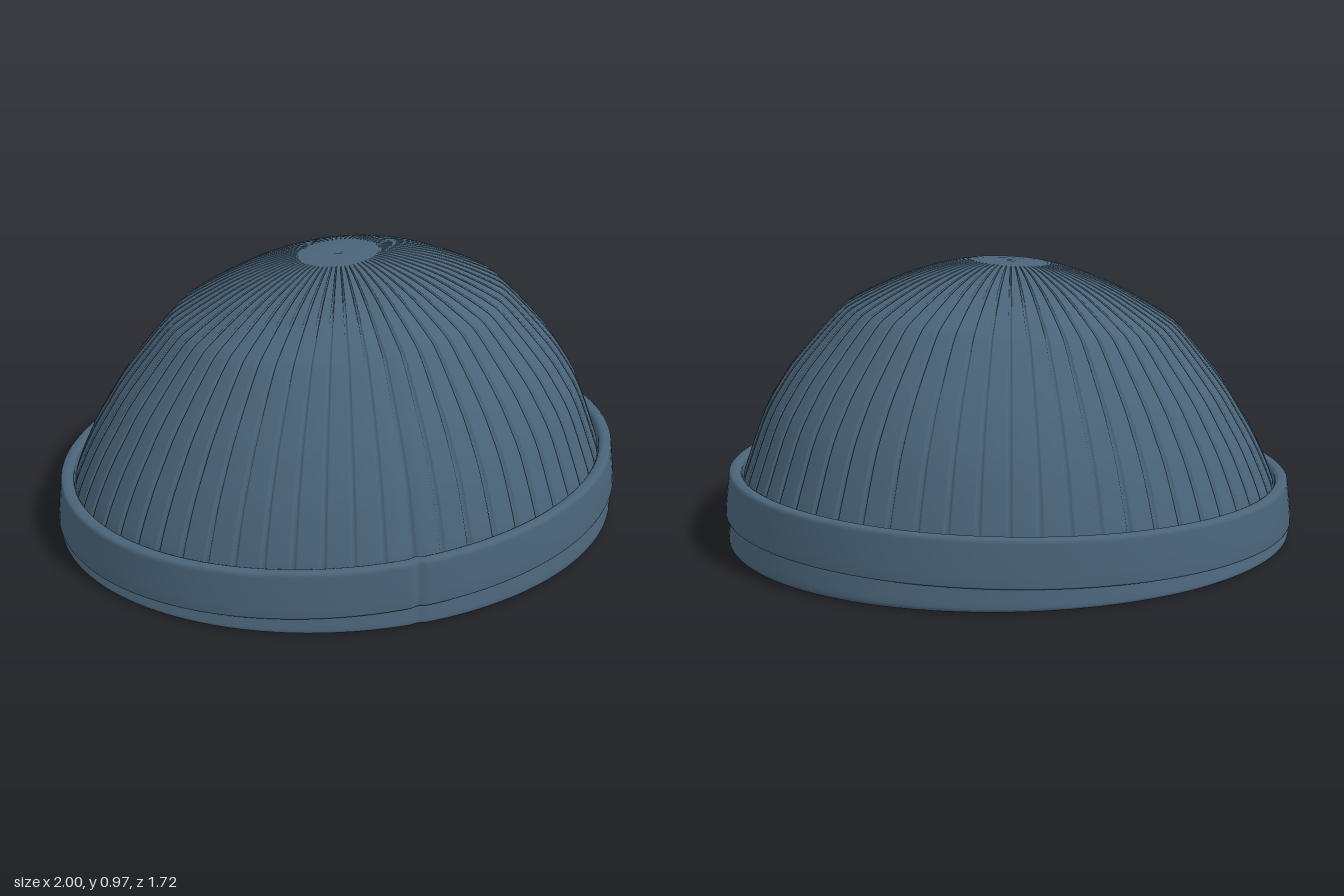
import * as THREE from 'three';

const DEPTH = 0.86; // front-to-back squash of the oval plan
const RIBS = 60;
const TAU = Math.PI * 2;

// The hat leans: everything rises towards +x, more strongly up the crown.
function lean(y) {
  const low = 0.034 * THREE.MathUtils.clamp(y / 0.07, 0, 1);
  return low + 0.034 * THREE.MathUtils.smoothstep(y, 0.22, 0.5);
}

// Sweep a [radius, height] profile round the oval; dent(angle, r, y) scales a point inwards.
function sweep(name, profile, angles, dent, material) {
  const pos = [], index = [];
  const n = angles.length;
  for (const [r, y] of profile) {
    for (const a of angles) {
      const f = 1 - dent(a, r, y);
      const x = r * f * Math.sin(a);
      const h = y > 0.3 ? 0.3 + (y - 0.3) * f : y;
      pos.push(x, h + lean(y) * x, DEPTH * r * f * Math.cos(a));
    }
  }
  for (let j = 0; j < profile.length - 1; j++) {
    for (let i = 0; i < n; i++) {
      const k = (i + 1) % n;
      const a = j * n + i, b = j * n + k, c = a + n, d = b + n;
      index.push(a, b, d, a, d, c);
    }
  }
  const geo = new THREE.BufferGeometry();
  geo.setAttribute('position', new THREE.Float32BufferAttribute(pos, 3));
  geo.setIndex(index);
  geo.computeVertexNormals();
  const mesh = new THREE.Mesh(geo, material);
  mesh.name = name;
  return mesh;
}

// Smooth a few profile points into a finer profile.
function smooth(points, count) {
  return new THREE.SplineCurve(points.map(p => new THREE.Vector2(...p)))
    .getPoints(count).map(p => [p.x, p.y]);
}

export function createModel() {
  const hat = new THREE.Group();
  hat.name = 'beanie';
  const knit = new THREE.MeshStandardMaterial({ color: 0x4a6479, side: THREE.DoubleSide });
  knit.name = 'slate blue knit';

  // Columns packed around each groove for the ribs, and around the front seam for the bands
  const ribAngles = [], bandAngles = [];
  for (let i = 0; i < RIBS; i++) {
    for (const t of [-0.15, -0.09, 0, 0.09, 0.15, 0.35, 0.5, 0.65]) ribAngles.push((i + t) * TAU / RIBS);
  }
  for (let i = 0; i < 120; i++) bandAngles.push(i * TAU / 120);
  for (const t of [0.008, 0.016, 0.025, 0.035]) bandAngles.push(t, TAU - t);
  bandAngles.sort((a, b) => a - b);

  // Distance-based bump at the front centre seam
  const seam = (a, r, width) => {
    const s = r * Math.sin(a) / width;
    return Math.cos(a) > 0 ? Math.exp(-s * s) : 0;
  };

  // Ribbed crown with a plain round patch and a tiny dimple on top
  const crownLine = [[0.935, 0.19], [0.927, 0.235], [0.86, 0.4], [0.8, 0.505], [0.735, 0.6],
    [0.6, 0.757], [0.535, 0.807], [0.4, 0.878], [0.3, 0.918], [0.2, 0.948], [0.145, 0.959]];
  const crown = [...smooth(crownLine, 36),
    [0.137, 0.96], [0.07, 0.963], [0.015, 0.962], [0.005, 0.95]];
  const ribDent = (a, r) => {
    if (r < 0.14) return 0;
    const t = a * RIBS / TAU;
    const off = Math.abs(t - Math.round(t));
    return 0.014 * Math.max(0, 1 - off / 0.09) + 0.008 * seam(a, r, 0.025);
  };
  hat.add(sweep('ribbedCrown', crown, ribAngles, ribDent, knit));

  // Inner lining with a raised seam at the front
  const lining = smooth([[0.004, 0.925], [0.14, 0.925], [0.3, 0.885], [0.52, 0.775], [0.71, 0.585],
    [0.835, 0.385], [0.905, 0.21], [0.93, 0.06]], 36);
  const liningDent = (a, r) => (r > 0.1 ? 0.03 * seam(a, r, 0.025) : 0);
  hat.add(sweep('innerLining', lining, bandAngles, liningDent, knit));

  // Rolled lower edge, flaring out beneath the cuff
  const edge = smooth([[0.93, 0.06], [0.938, 0.025], [0.955, 0.008], [0.975, 0.004], [0.99, 0.01],
    [0.993, 0.022], [0.987, 0.05], [0.975, 0.1], [0.955, 0.13]], 24);
  const edgeDent = (a, r) => 0.006 * seam(a, r, 0.018);
  hat.add(sweep('lowerEdge', edge, bandAngles, edgeDent, knit));

  // Folded cuff
  const cuff = [[0.965, 0.085], [0.972, 0.077], [0.99, 0.075], [0.998, 0.077], [1.0, 0.083],
    [0.997, 0.12], [0.991, 0.17], [0.985, 0.218], [0.983, 0.227], [0.977, 0.232], [0.965, 0.234],
    [0.952, 0.234], [0.944, 0.23], [0.939, 0.222], [0.937, 0.19]];
  const cuffDent = (a, r) => 0.01 * seam(a, r, 0.015);
  hat.add(sweep('foldedCuff', cuff, bandAngles, cuffDent, knit));

  return hat;
}
